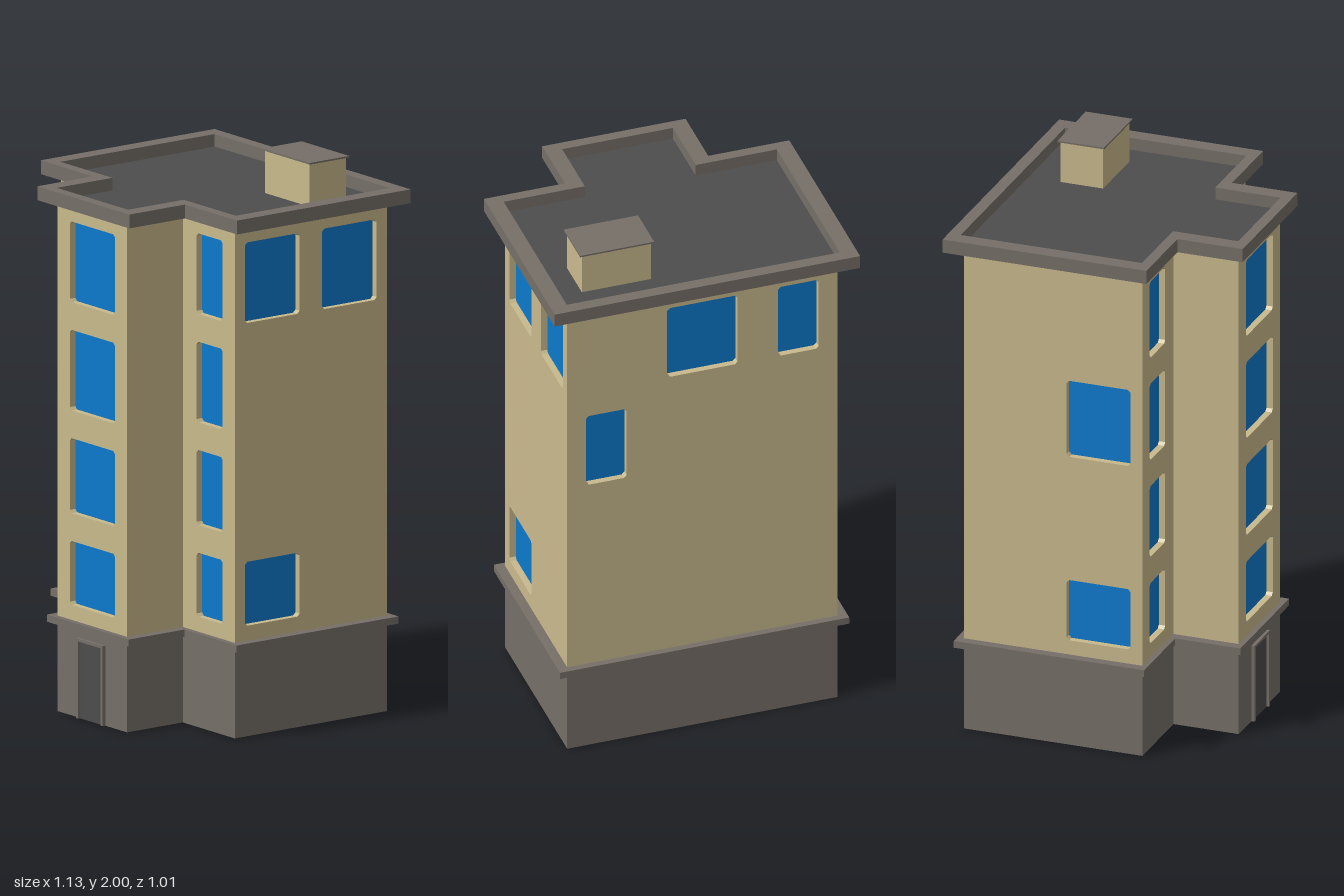
import * as THREE from 'three';

const mat = (name, color) => Object.assign(new THREE.MeshStandardMaterial({ color }), { name });

export function createModel() {
  const wallMat = mat('sand plaster', 0xc9ba8d);
  const stone = mat('grey stone', 0x766f68);
  const dark = mat('dark grey', 0x4d4d4d);
  const glass = mat('blue glass', 0x0d7acc);
  const soil = mat('dark underside', 0x1f180c);

  const model = new THREE.Group();
  model.name = 'apartmentBlock';
  const add = (name, geo, material, parent = model) => {
    const mesh = new THREE.Mesh(geo, material);
    mesh.name = name;
    parent.add(mesh);
    return mesh;
  };
  const box = (name, x0, x1, y0, y1, z0, z1, material) =>
    add(name, new THREE.BoxGeometry(x1 - x0, y1 - y0, z1 - z0), material)
      .position.set((x0 + x1) / 2, (y0 + y1) / 2, (z0 + z1) / 2);

  // T-shaped plan: main block plus a projecting front bay
  const plan = (hx, back, notch, bayHx, front) => [
    [-hx, -back], [-hx, -notch], [-bayHx, -notch], [-bayHx, -front],
    [bayHx, -front], [bayHx, -notch], [hx, -notch], [hx, -back],
  ].map(([x, y]) => new THREE.Vector2(x, y));
  const slab = (name, outline, y0, y1, material, hole) => {
    const shape = new THREE.Shape(outline);
    if (hole) shape.holes.push(new THREE.Path(hole));
    const geo = new THREE.ExtrudeGeometry(shape, { depth: y1 - y0, bevelEnabled: false });
    geo.rotateX(-Math.PI / 2).translate(0, y0, 0);
    return add(name, geo, material);
  };

  const body = plan(0.5, -0.45, 0.22, 0.2, 0.465);
  const roofEdge = plan(0.505, -0.46, 0.22, 0.205, 0.465);

  // Plinth, ledge, roof deck and parapet
  slab('plinth', body, 0.002, 0.322, stone);
  add('underside', new THREE.ShapeGeometry(new THREE.Shape(
    body.map((p) => new THREE.Vector2(p.x, -p.y)))).rotateX(Math.PI / 2), soil);
  slab('ledge', plan(0.535, -0.475, 0.24, 0.235, 0.485), 0.32, 0.346, stone);
  slab('roofDeck', roofEdge, 1.83, 1.84, dark);
  slab('parapet', plan(0.565, -0.505, 0.26, 0.265, 0.505), 1.835, 1.885, stone, roofEdge);

  // Window rows, bottom to top
  const rows = [[0.4, 0.63], [0.73, 1.0], [1.1, 1.39], [1.49, 1.78]];
  const depth = 0.025, c = 0.01;

  // Wall panel with recessed windows; u runs to the right as seen from outside
  function facade(name, angle, dist, u0, u1, windows) {
    const group = new THREE.Group();
    group.name = name;
    group.rotation.y = angle;
    model.add(group);
    const shape = new THREE.Shape([[u0, 0.34], [u1, 0.34], [u1, 1.837], [u0, 1.837]]
      .map(([x, y]) => new THREE.Vector2(x, y)));
    for (const [a, b, row] of windows) {
      const [y0, y1] = rows[row];
      shape.holes.push(new THREE.Path([
        [a + c, y0], [a, y0 + c], [a, y1 - c], [a + c, y1],
        [b - c, y1], [b, y1 - c], [b, y0 + c], [b - c, y0],
      ].map(([x, y]) => new THREE.Vector2(x, y))));
      const pane = add('windowPane', new THREE.PlaneGeometry(b - a, y1 - y0), glass, group);
      pane.position.set((a + b) / 2, (y0 + y1) / 2, dist - depth + 0.001);
    }
    const wall = add('wall', new THREE.ExtrudeGeometry(shape, { depth, bevelEnabled: false }), wallMat, group);
    wall.position.z = dist - depth;
  }

  const column = (a, b) => rows.map((_, i) => [a, b, i]);
  const q = Math.PI / 2;
  facade('bayFront', 0, 0.465, -0.2, 0.2, column(-0.13, 0.13));
  facade('frontLeft', 0, 0.22, 0.2, 0.5, column(0.28, 0.43));
  facade('frontRight', 0, 0.22, -0.5, -0.2, column(-0.43, -0.28));
  facade('bayLeft', q, 0.2, -0.465, -0.2, []);
  facade('bayRight', -q, 0.2, 0.2, 0.465, []);
  facade('leftSide', q, 0.5, -0.22, 0.45,
    [[-0.175, 0.065, 0], [-0.175, 0.065, 3], [0.165, 0.405, 3]]);
  facade('rightSide', -q, 0.5, -0.45, 0.22, [[-0.065, 0.175, 0], [-0.065, 0.175, 2]]);
  facade('back', Math.PI, 0.45, -0.5, 0.5,
    [[-0.43, -0.28, 2], [-0.13, 0.13, 3], [0.28, 0.43, 3]]);

  // Entrance door and its frame
  box('door', -0.066, 0.062, 0.002, 0.28, 0.46, 0.468, dark);
  box('doorFrameRight', -0.078, -0.066, 0.002, 0.29, 0.46, 0.477, stone);
  box('doorFrameLeft', 0.062, 0.074, 0.002, 0.29, 0.46, 0.477, stone);
  box('doorFrameTop', -0.066, 0.062, 0.28, 0.29, 0.46, 0.477, stone);

  // Rooftop stair hut with thin cap
  box('roofHut', 0.152, 0.408, 1.835, 1.994, -0.34, -0.18, wallMat);
  box('roofHutCap', 0.143, 0.417, 1.994, 2.0, -0.348, -0.173, stone);

  return model;
}
